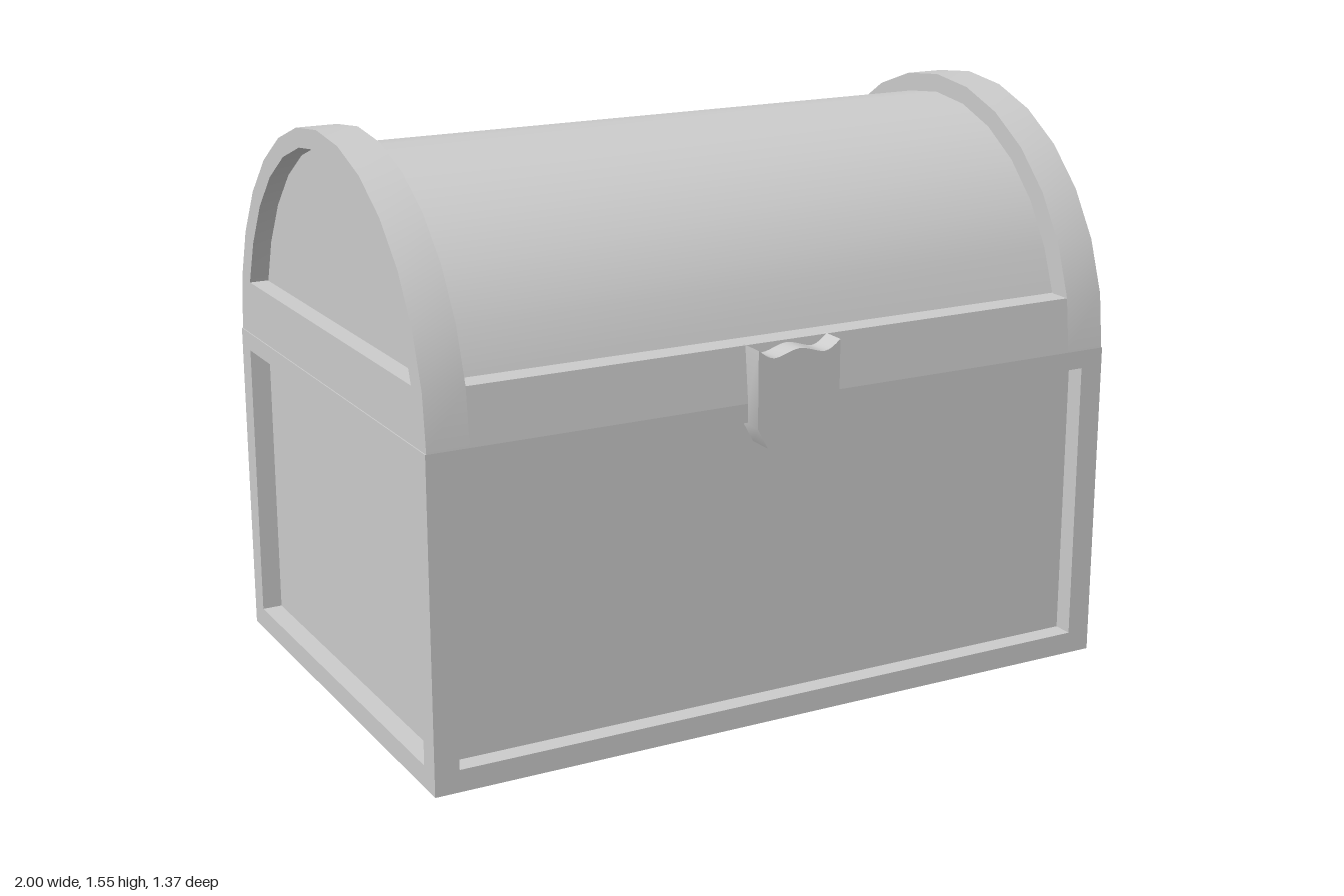
import * as THREE from 'three';
import { toCreasedNormals } from 'three/addons/utils/BufferGeometryUtils.js';

const W = 1, D = 0.66, SEAM = 0.885, RIM_Y = 1.034; // half width, half depth, lid seam, top of lid band
const INSET = 0.055, ARCH = 0.115, STEPS = 14;      // panel recess, arch width, segments of the lid curve

const material = new THREE.MeshStandardMaterial({ color: 0xcccccc });

function add(parent, name, geometry) {
  const mesh = new THREE.Mesh(geometry, material);
  mesh.name = name;
  parent.add(mesh);
  return mesh;
}

const extrude = (shape, depth) =>
  toCreasedNormals(new THREE.ExtrudeGeometry(shape, { depth, bevelEnabled: false }), 0.5);

// Extrudes a depth/height profile along x, from x0 to x1
const extrudeX = (shape, x0, x1) => extrude(shape, x1 - x0).rotateY(Math.PI / 2).translate(x0, 0, 0);

// Points of the half-round lid curve between two steps
function lidCurve(rx, ry, from, to) {
  const points = [];
  for (let i = from; i <= to; i++) {
    const a = (i / STEPS) * Math.PI;
    points.push(new THREE.Vector2(Math.cos(a) * rx, SEAM + Math.sin(a) * ry));
  }
  return points;
}

const rect = (x0, y0, x1, y1) => [[x0, y0], [x1, y0], [x1, y1], [x0, y1]].map((p) => new THREE.Vector2(...p));

// Flat rectangular frame with an open middle
function frame(halfWidth, y0, y1, side, bottom, top) {
  const shape = new THREE.Shape(rect(-halfWidth, y0, halfWidth, y1));
  shape.holes.push(new THREE.Path(rect(-halfWidth + side, y0 + bottom, halfWidth - side, y1 - top)));
  return extrude(shape, INSET);
}

function createBase() {
  const base = new THREE.Group();
  base.name = 'base';
  const core = new THREE.BoxGeometry(2 * (W - INSET), SEAM - INSET, 2 * (D - INSET));
  add(base, 'basePanels', core.translate(0, (SEAM + INSET) / 2, 0));
  for (const [front, side, turn] of [['frontFrame', 'leftFrame', 0], ['backFrame', 'rightFrame', Math.PI]]) {
    add(base, front, frame(W, 0, SEAM, 0.067, 0.06, 0.05).translate(0, 0, D - INSET).rotateY(turn));
    add(base, side, frame(D, 0, SEAM, 0.065, 0.06, 0.05).translate(0, 0, W - INSET).rotateY(Math.PI / 2 + turn));
  }
  add(base, 'bottomFrame', frame(W, -D, D, 0.067, 0.065, 0.065).rotateX(Math.PI / 2).translate(0, INSET, 0));
  return base;
}

function createLid() {
  const lid = new THREE.Group();
  lid.name = 'lid';
  const outer = lidCurve(D, 0.668, 0, STEPS);
  const inner = lidCurve(0.593, 0.617, 1, STEPS - 1);
  const opening = inner.map((p) => new THREE.Vector2(p.x, Math.max(p.y, RIM_Y)));

  // Recessed barrel, its ends forming the end panels
  const end = W - INSET;
  add(lid, 'lidBarrel', extrudeX(new THREE.Shape(inner), -end, end));

  // Band along the front and back
  const band = [outer[0], outer[1], outer[STEPS - 1], outer[STEPS]];
  add(lid, 'lidBand', extrudeX(new THREE.Shape(band), ARCH - W, W - ARCH));

  // Raised arches at both ends
  const arch = new THREE.Shape(outer);
  arch.holes.push(new THREE.Path(opening));
  add(lid, 'leftArch', extrudeX(arch, W - ARCH, W - 0.003));
  add(lid, 'rightArch', extrudeX(arch, 0.003 - W, ARCH - W));
  return lid;
}

// Shield-shaped clasp with a wavy top
function createLatch() {
  const shape = new THREE.Shape();
  shape.moveTo(-0.12, 1.035);
  shape.lineTo(-0.12, 0.83);
  shape.lineTo(-0.09, 0.775);
  shape.lineTo(-0.05, 0.752);
  shape.lineTo(0, 0.74);
  shape.lineTo(0.05, 0.752);
  shape.lineTo(0.09, 0.775);
  shape.lineTo(0.12, 0.83);
  shape.lineTo(0.12, 1.035);
  shape.splineThru([[0.075, 1.01], [0, 1.027], [-0.075, 1.01], [-0.12, 1.035]].map((p) => new THREE.Vector2(...p)));
  const geometry = new THREE.ExtrudeGeometry(shape, { depth: 0.075, bevelEnabled: false, curveSegments: 4 });
  return toCreasedNormals(geometry, 0.5).translate(0, 0, 0.635);
}

export function createModel() {
  const chest = new THREE.Group();
  chest.name = 'chest';
  const body = new THREE.Group();
  body.name = 'body';
  body.position.z = -0.024;
  body.add(createBase(), createLid());
  add(body, 'latch', createLatch());
  chest.add(body);
  return chest;
}
